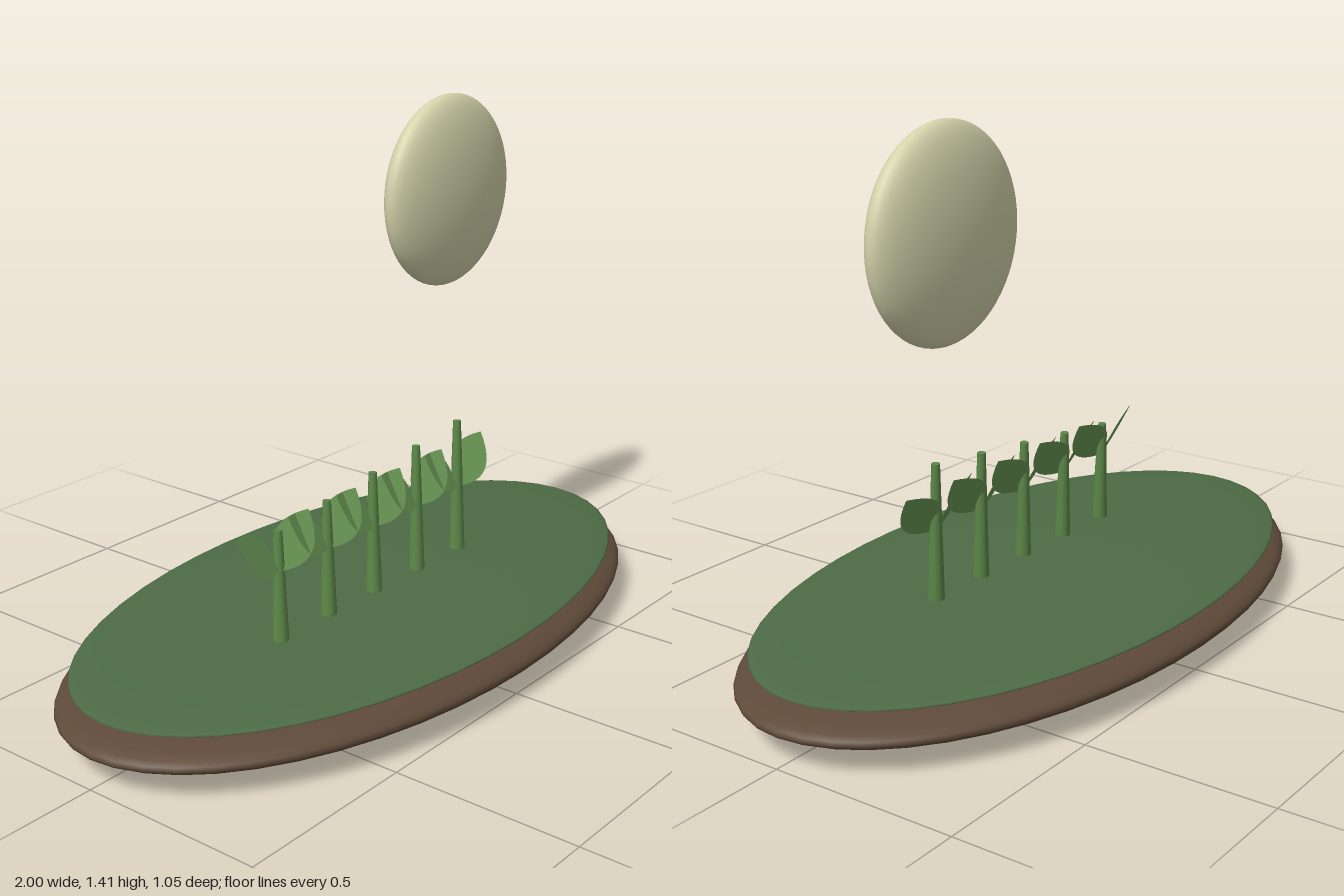
import * as THREE from 'three';

const mat = (color, side = THREE.FrontSide) => new THREE.MeshStandardMaterial({ color, side });

// Flattened sphere given by centre and radii
function ellipsoid(name, center, radii, material) {
  const mesh = new THREE.Mesh(new THREE.SphereGeometry(1, 48, 32), material);
  mesh.name = name;
  mesh.position.set(...center);
  mesh.scale.set(...radii);
  return mesh;
}

// Tapered stem between two points
function stem(from, to, material) {
  const dir = to.clone().sub(from);
  const mesh = new THREE.Mesh(new THREE.CylinderGeometry(0.011, 0.023, dir.length(), 12), material);
  mesh.name = 'stem';
  mesh.position.copy(from).add(to).multiplyScalar(0.5);
  mesh.quaternion.setFromUnitVectors(new THREE.Vector3(0, 1, 0), dir.normalize());
  return mesh;
}

// Pointed leaf outline, growing along +x from its base
function leafGeometry(length, bulge) {
  const shape = new THREE.Shape();
  shape.moveTo(0, 0);
  shape.quadraticCurveTo(length * 0.45, bulge, length, 0);
  shape.quadraticCurveTo(length * 0.45, -bulge, 0, 0);
  return new THREE.ShapeGeometry(shape, 12);
}

// Leaf on one side: rises outward, lower edge tipped to the front
function leaf(side, geometry, material) {
  const along = new THREE.Vector3(side * 0.13, 0.12, -0.018).normalize();
  const across = new THREE.Vector3(-side * 0.56, 0.63, -0.54);
  const normal = along.clone().cross(across).normalize();
  across.copy(normal).cross(along);
  const mesh = new THREE.Mesh(geometry, material);
  mesh.name = side > 0 ? 'leftLeaf' : 'rightLeaf';
  mesh.quaternion.setFromRotationMatrix(new THREE.Matrix4().makeBasis(along, across, normal));
  mesh.position.set(side * 0.002, 0.36, 0.063);
  return mesh;
}

export function createModel() {
  const group = new THREE.Group();
  group.name = 'seedlingIsland';

  // Ground: soil mound with a thin grass cap
  group.add(ellipsoid('soil', [0, 0.087, 0], [1, 0.084, 0.527], mat(0x5f4a39)));
  group.add(ellipsoid('grass', [0, 0.154, 0], [0.957, 0.025, 0.502], mat(0x4d6b45)));

  // Floating disc
  group.add(ellipsoid('sunDisc', [0.476, 1.152, -0.085], [0.264, 0.264, 0.077], mat(0xd2d2aa)));

  // Row of sprouts, each slightly taller than the last
  const stemMat = mat(0x5c8748);
  const leafMat = mat(0x6c9a57, THREE.DoubleSide);
  const leafGeo = leafGeometry(0.178, 0.112);
  for (let i = 0; i < 5; i++) {
    const sprout = new THREE.Group();
    sprout.name = `sprout${i + 1}`;
    sprout.position.x = -0.406 + i * 0.187;
    sprout.add(stem(new THREE.Vector3(0, 0.15, 0.063),
      new THREE.Vector3(0.016, 0.46 + i * 0.021, 0.045), stemMat));
    for (const side of [-1, 1]) sprout.add(leaf(side, leafGeo, leafMat));
    group.add(sprout);
  }
  return group;
}
